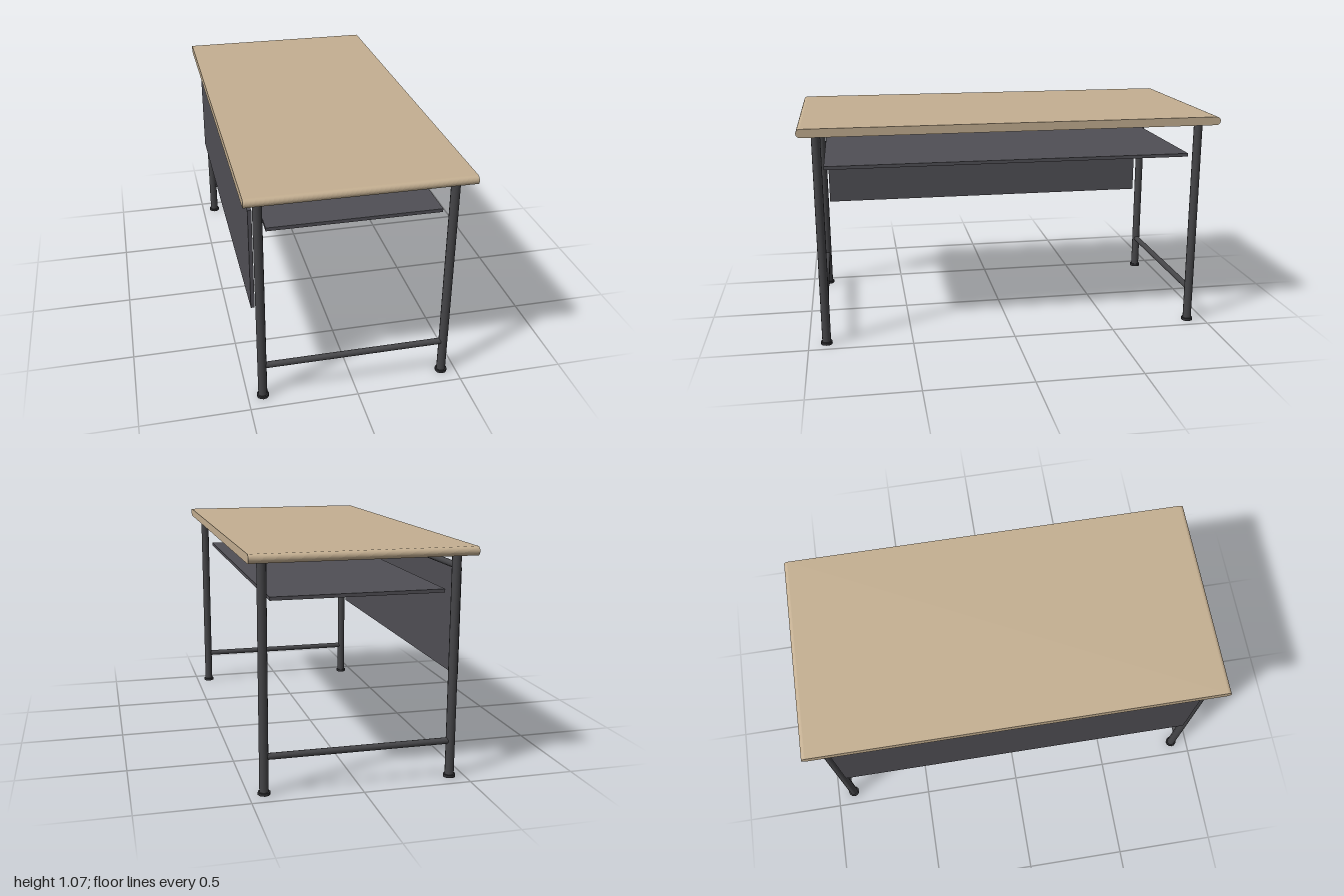
import * as THREE from 'three';

export function createModel() {
  const desk = new THREE.Group();
  desk.name = 'desk';

  const mat = (name, color) => {
    const m = new THREE.MeshStandardMaterial({ color });
    m.name = name;
    return m;
  };
  const wood = mat('wood', 0xc4af91);
  const steel = mat('frameSteel', 0x454548);
  const sheet = mat('sheetMetal', 0x504f55);
  const rubber = mat('footRubber', 0x2e2e31);

  const add = (name, geometry, material, x, y, z) => {
    const mesh = new THREE.Mesh(geometry, material);
    mesh.name = name;
    mesh.position.set(x, y, z);
    desk.add(mesh);
    return mesh;
  };

  const legX = 0.431, legZ = 0.915, topY = 1.026, thickness = 0.04;

  // Table top: rounded at both short ends, square along the long edges
  const r = thickness / 2;
  const profile = new THREE.Shape();
  profile.absarc(1 - r, 0, r, -Math.PI / 2, Math.PI / 2, false);
  profile.absarc(-1 + r, 0, r, Math.PI / 2, Math.PI * 1.5, false);
  profile.closePath();
  const top = new THREE.ExtrudeGeometry(profile, { depth: 1, bevelEnabled: false, curveSegments: 8 });
  top.translate(0, 0, -0.5).rotateY(Math.PI / 2);
  add('tableTop', top, wood, 0, topY + r, 0);

  // Legs and feet at the four corners
  const leg = new THREE.CylinderGeometry(0.021, 0.021, topY - 0.012, 12);
  const foot = new THREE.CylinderGeometry(0.028, 0.028, 0.013, 12);
  for (const x of [-legX, legX]) {
    for (const z of [-legZ, legZ]) {
      add('leg', leg, steel, x, (topY + 0.012) / 2, z);
      add('foot', foot, rubber, x, 0.0065, z);
    }
  }

  // Low crossbars joining each pair of legs
  const crossbar = new THREE.CylinderGeometry(0.015, 0.015, legX * 2 - 0.03, 12).rotateZ(Math.PI / 2);
  for (const z of [-legZ, legZ]) add('crossbar', crossbar, steel, 0, 0.173, z);

  // Long rail under the top, along the panel side
  const rail = new THREE.CylinderGeometry(0.015, 0.015, legZ * 2 - 0.03, 12).rotateX(Math.PI / 2);
  add('longRail', rail, steel, -legX, 0.975, 0);

  // Privacy panel and storage shelf
  add('privacyPanel', new THREE.BoxGeometry(0.017, 0.485, 1.775), sheet, -0.459, 0.717, 0);
  add('shelf', new THREE.BoxGeometry(0.786, 0.016, 1.775), sheet, 0, 0.86, 0);

  return desk;
}
